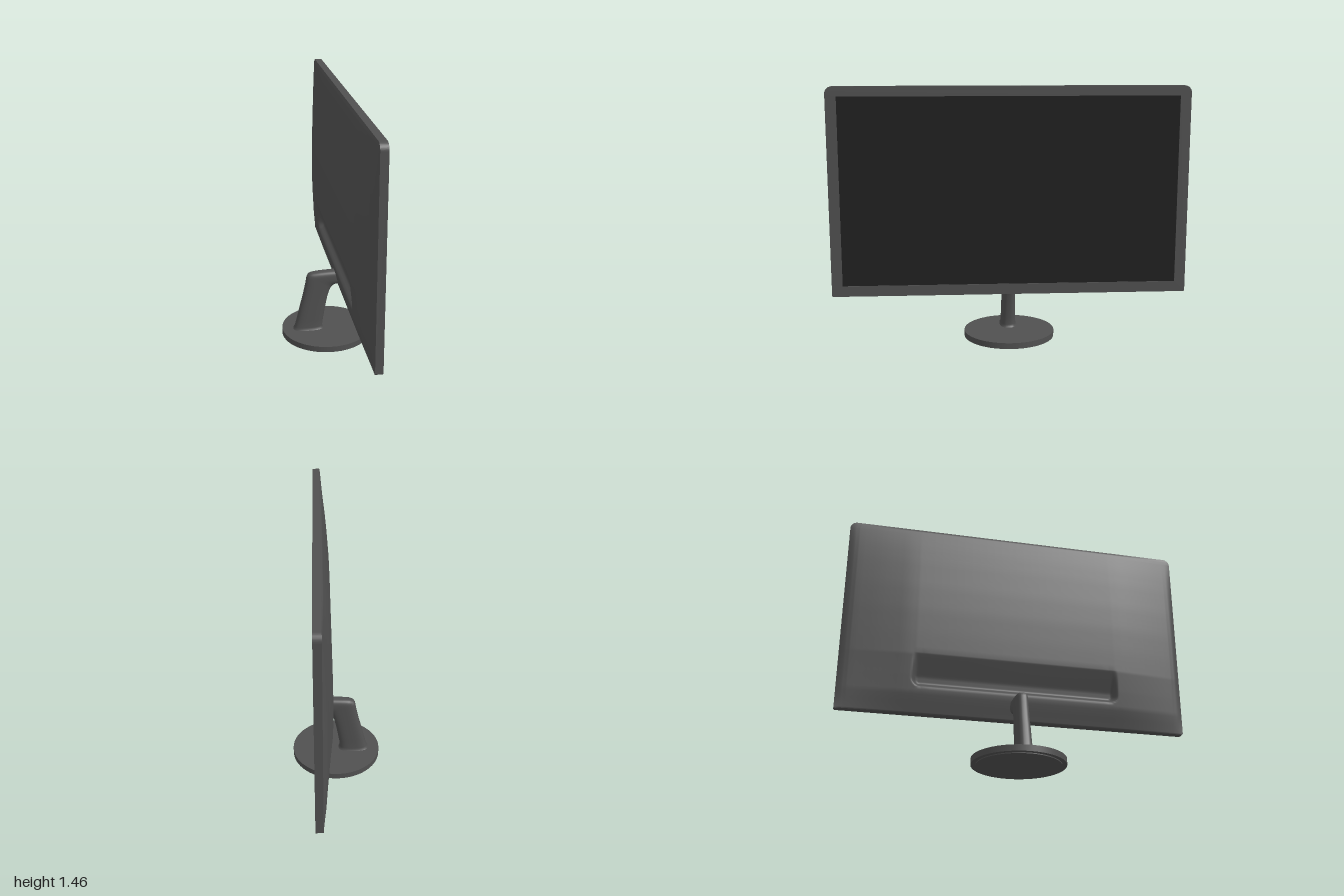
import * as THREE from 'three';

const casing = new THREE.MeshStandardMaterial({ color: 0x505050 });
const glass = new THREE.MeshStandardMaterial({ color: 0x1e1e1e });

const BOTTOM = 0.285, TOP = 1.455, SEAM = 0.083, FRONT = 0.125;
const TOP_R = 0.04, LOW_R = 0.008;

// Piecewise-linear lookup in a list of [position, value] pairs
function lookup(table, p) {
  for (let i = 1; i < table.length; i++) {
    const [p0, v0] = table[i - 1], [p1, v1] = table[i];
    if (p <= p1) return v0 + (v1 - v0) * Math.max(0, (p - p0) / (p1 - p0));
  }
  return table[table.length - 1][1];
}

// Values from -> to through the given stops, with a number of steps in each span
function spaced(spans) {
  const out = [spans[0][0]];
  for (let i = 1; i < spans.length; i++) {
    const [end, n] = spans[i], start = spans[i - 1][0];
    for (let k = 1; k <= n; k++) out.push(start + (end - start) * k / n);
  }
  return out;
}

// Surface through a grid of points
function gridGeometry(rows, closed, flip) {
  const n = rows[0].length, idx = [];
  for (let i = 0; i < rows.length - 1; i++) {
    for (let j = 0; j < (closed ? n : n - 1); j++) {
      const k = (j + 1) % n;
      const a = i * n + j, b = i * n + k, c = a + n, d = b + n;
      if (flip) idx.push(a, c, b, b, c, d);
      else idx.push(a, b, c, b, d, c);
    }
  }
  const g = new THREE.BufferGeometry();
  g.setAttribute('position', new THREE.Float32BufferAttribute(rows.flat(2), 3));
  g.setIndex(idx);
  g.computeVertexNormals();
  return g;
}

function add(group, name, geometry, material) {
  const mesh = new THREE.Mesh(geometry, material);
  mesh.name = name;
  group.add(mesh);
  return mesh;
}

// Frame around the screen, with rounder corners at the top
function bezelGeometry() {
  const s = new THREE.Shape();
  s.moveTo(-1 + LOW_R, BOTTOM);
  s.lineTo(1 - LOW_R, BOTTOM);
  s.absarc(1 - LOW_R, BOTTOM + LOW_R, LOW_R, -Math.PI / 2, 0);
  s.absarc(1 - TOP_R, TOP - TOP_R, TOP_R, 0, Math.PI / 2);
  s.absarc(-1 + TOP_R, TOP - TOP_R, TOP_R, Math.PI / 2, Math.PI);
  s.absarc(-1 + LOW_R, BOTTOM + LOW_R, LOW_R, Math.PI, Math.PI * 1.5);
  const h = new THREE.Path();
  h.moveTo(-0.94, 0.345);
  h.lineTo(-0.94, 1.4);
  h.lineTo(0.94, 1.4);
  h.lineTo(0.94, 0.345);
  h.closePath();
  s.holes.push(h);
  const g = new THREE.ExtrudeGeometry(s, { depth: FRONT - SEAM, bevelEnabled: false, curveSegments: 10 });
  return g.rotateY(Math.PI / 2).translate(SEAM, 0, 0);
}

// Half width of the casing at a height, following the corner rounding
function halfWidth(y) {
  const cut = (r, d) => (d < r ? r - Math.sqrt(Math.max(0, r * r - (r - d) ** 2)) : 0);
  return 1 - cut(TOP_R, TOP - y) - cut(LOW_R, y - BOTTOM);
}

// Depth of the port recess: flush along its top, deepest just above its ledge
function recess(y, z) {
  const r = 0.05, top = 0.63, low = 0.43, half = 0.6;
  if (y >= top || y <= low || Math.abs(z) >= half) return 0;
  const qz = Math.abs(z) - (half - r), qy = low + r - y;
  const edge = r - (Math.hypot(Math.max(qz, 0), Math.max(qy, 0)) + Math.min(Math.max(qz, qy), 0));
  return 0.038 * Math.min(1, (top - y) / 0.13) * THREE.MathUtils.smoothstep(edge, 0, 0.035);
}

// Bulging back cover
function backGeometry() {
  const upright = [[BOTTOM, 0], [0.29, 0.004], [0.32, 0.012], [0.36, 0.023], [0.4, 0.033], [0.5, 0.044],
    [0.62, 0.056], [0.75, 0.057], [0.9, 0.056], [1.05, 0.05], [1.22, 0.038], [1.32, 0.028],
    [1.4, 0.017], [1.44, 0.009], [TOP, 0]];
  const across = [[0, 1], [0.58, 1], [0.64, 0.96], [0.8, 0.7], [0.94, 0.45], [0.97, 0.33], [0.988, 0.17], [1, 0]];
  const ys = spaced([[BOTTOM], [0.293, 4], [0.43, 10], [0.63, 24], [1.415, 24], [TOP, 10]]);
  const zs = spaced([[-1], [-0.94, 8], [-0.61, 10], [-0.54, 10], [0.54, 24], [0.61, 10], [0.94, 10], [1, 8]]);
  return gridGeometry(ys.map((y) => zs.map((z) => [
    SEAM - lookup(upright, y) * lookup(across, Math.abs(z)) + recess(y, z), y, z * halfWidth(y),
  ])));
}

// Bent neck: each section gives its rear point, front point and half width
function neckGeometry() {
  const sections = [
    [-0.2, 0.034, -0.01, 0.034, 0.054],
    [-0.193, 0.042, -0.019, 0.042, 0.047],
    [-0.186, 0.055, -0.024, 0.055, 0.043],
    [-0.174, 0.1, -0.018, 0.1, 0.042],
    [-0.155, 0.18, -0.005, 0.175, 0.04],
    [-0.137, 0.25, 0.008, 0.24, 0.038],
    [-0.12, 0.33, 0.021, 0.282, 0.037],
    [-0.114, 0.368, 0.031, 0.3, 0.036],
    [-0.105, 0.386, 0.04, 0.31, 0.036],
    [-0.085, 0.395, 0.048, 0.315, 0.036],
    [-0.04, 0.4, 0.056, 0.318, 0.036],
    [0.02, 0.403, 0.066, 0.32, 0.036],
    [0.08, 0.405, 0.08, 0.322, 0.036],
  ];
  const soft = (v) => Math.sign(v) * Math.abs(v) ** 0.7;
  const rows = sections.map(([x0, y0, x1, y1, w]) => Array.from({ length: 40 }, (_, j) => {
    const a = j / 40 * Math.PI * 2, t = (1 + soft(Math.cos(a))) / 2;
    return [x0 + (x1 - x0) * t, y0 + (y1 - y0) * t, soft(Math.sin(a)) * w];
  }));
  return gridGeometry(rows, true, true);
}

export function createModel() {
  const model = new THREE.Group();
  model.name = 'monitor';

  // Display
  const display = new THREE.Group();
  display.name = 'display';
  add(display, 'bezel', bezelGeometry(), casing);
  add(display, 'backCover', backGeometry(), casing);
  add(display, 'screen', new THREE.BoxGeometry(0.015, 1.057, 1.882), glass).position.set(0.1135, 0.8725, 0);
  model.add(display);

  // Stand
  const stand = new THREE.Group();
  stand.name = 'stand';
  add(stand, 'neck', neckGeometry(), casing);
  add(stand, 'base', new THREE.CylinderGeometry(0.26, 0.26, 0.034, 64), casing).position.y = 0.022;
  add(stand, 'footPad', new THREE.CylinderGeometry(0.235, 0.235, 0.008, 64), casing).position.y = 0.004;
  model.add(stand);

  return model;
}
